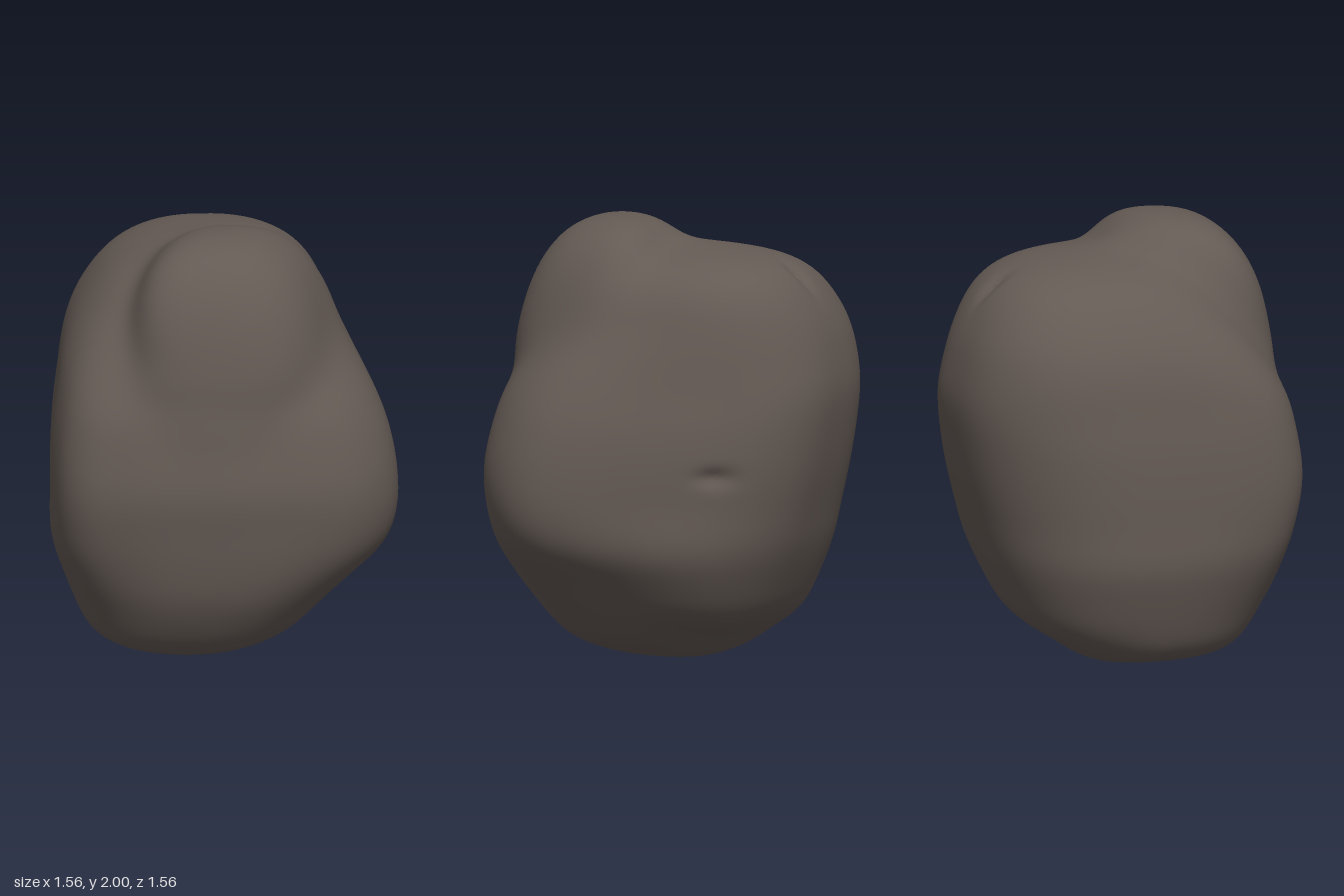
import * as THREE from 'three';
import { mergeVertices } from 'three/addons/utils/BufferGeometryUtils.js';

// Smooth interpolation through rows [key, value, value...]
function lookup(rows, key, col) {
  const last = rows.length - 1;
  if (key <= rows[0][0]) return rows[0][col];
  if (key >= rows[last][0]) return rows[last][col];
  let i = 0;
  while (rows[i + 1][0] < key) i++;
  const slope = (k) => {
    const a = rows[Math.max(k - 1, 0)], b = rows[Math.min(k + 1, last)];
    return (b[col] - a[col]) / (b[0] - a[0]);
  };
  const h = rows[i + 1][0] - rows[i][0];
  const t = (key - rows[i][0]) / h, t2 = t * t, t3 = t2 * t;
  return (2 * t3 - 3 * t2 + 1) * rows[i][col] + (t3 - 2 * t2 + t) * h * slope(i)
    + (3 * t2 - 2 * t3) * rows[i + 1][col] + (t3 - t2) * h * slope(i + 1);
}

// Extents of the boulder at each height: y, xMin, xMax, zBack, zFront
const levels = [
  [0.0, -0.25, 0.0, -0.1, 0.26],
  [0.02, -0.38, 0.06, -0.17, 0.37],
  [0.06, -0.53, 0.18, -0.25, 0.48],
  [0.12, -0.62, 0.31, -0.33, 0.55],
  [0.22, -0.67, 0.42, -0.48, 0.62],
  [0.38, -0.73, 0.57, -0.57, 0.70],
  [0.55, -0.78, 0.73, -0.64, 0.74],
  [0.7, -0.78, 0.78, -0.68, 0.76],
  [0.9, -0.78, 0.78, -0.73, 0.78],
  [1.1, -0.77, 0.74, -0.765, 0.75],
  [1.25, -0.75, 0.68, -0.78, 0.71],
  [1.4, -0.73, 0.6, -0.76, 0.63],
  [1.55, -0.68, 0.51, -0.72, 0.53],
  [1.7, -0.58, 0.43, -0.64, 0.41],
  [1.78, -0.49, 0.35, -0.56, 0.32],
  [1.84, -0.36, 0.22, -0.43, 0.24],
  [1.87, -0.24, 0.1, -0.24, 0.18],
  [1.89, -0.12, 0.0, -0.06, 0.1],
];

// Plan outline at mid height (x, z), turned into radius by angle
const outline = [
  [-0.1, -0.78], [0.15, -0.765], [0.33, -0.67], [0.48, -0.49], [0.59, -0.27], [0.67, -0.05], [0.75, 0.16],
  [0.78, 0.3], [0.75, 0.46], [0.62, 0.63], [0.43, 0.72], [0.2, 0.76], [-0.15, 0.78], [-0.45, 0.76],
  [-0.61, 0.72], [-0.71, 0.62], [-0.76, 0.45], [-0.78, 0.2], [-0.78, 0], [-0.77, -0.2],
  [-0.71, -0.42], [-0.58, -0.61], [-0.4, -0.73],
].map(([x, z]) => [Math.atan2(z, x), Math.hypot(x, z) / 0.78]).sort((a, b) => a[0] - b[0]);
const turn = 2 * Math.PI;
const ring = [
  ...outline.slice(-3).map(([a, r]) => [a - turn, r]),
  ...outline,
  ...outline.slice(0, 3).map(([a, r]) => [a + turn, r]),
];

// The outline turns into a plain rounded one towards the bottom and the top
function outlineRadius(angle, y) {
  const n = 2.5;
  const round = (Math.abs(Math.cos(angle)) ** n + Math.abs(Math.sin(angle)) ** n) ** (-1 / n);
  const low = 1 - THREE.MathUtils.smoothstep(y, 0.2, 0.8);
  const high = 0.6 * THREE.MathUtils.smoothstep(y, 1.2, 1.7);
  return THREE.MathUtils.lerp(lookup(ring, angle, 1), round, low + high);
}

function bodyField(p) {
  const [x0, x1, z0, z1] = [1, 2, 3, 4].map((c) => lookup(levels, p.y, c));
  const hx = (x1 - x0) / 2, hz = (z1 - z0) / 2;
  const u = (p.x - (x0 + x1) / 2) / hx, v = (p.z - (z0 + z1) / 2) / hz;
  const side = (Math.hypot(u, v) / outlineRadius(Math.atan2(v, u), p.y) - 1) * Math.min(hx, hz);
  return Math.max(side, p.y - 1.89, -p.y);
}

// Blunt knob at the upper front, leaning back and tapering down into the front face
function knobField(p) {
  const n = 2.8, rise = p.y - 1.4;
  const midX = 0.05 - 0.15 * Math.max(rise - 0.1, 0) - 0.25 * (p.z - 0.35);
  const midZ = 0.36 - 0.16 * Math.max(rise, 0);
  const width = 0.42 * (1 + 0.8 * THREE.MathUtils.clamp(rise, -0.6, 0));
  const sum = Math.abs((p.x - midX) / width) ** n + Math.abs(rise / 0.6) ** n
    + Math.abs((p.z - midZ) / 0.365) ** n;
  return (sum ** (1 / n) - 1) * 0.4;
}

function field(p) {
  const a = bodyField(p), b = knobField(p), k = 0.08;
  const h = Math.max(k - Math.abs(a - b), 0) / k;
  return Math.min(a, b) - h * h * k / 4;
}

// Dents: centre, spread along each axis, depth
const dents = [
  [[-0.11, 1.76, -0.58], [0.03, 0.12, 0.08], 0.03],
  [[0.5, 0.9, -0.46], [0.14, 0.04, 0.08], 0.03],
  [[0.22, 0.13, -0.18], [0.24, 0.1, 0.13], 0.035],
];

export function createModel() {
  let geometry = new THREE.IcosahedronGeometry(1, 36);
  geometry.deleteAttribute('uv');
  geometry.deleteAttribute('normal');
  geometry = mergeVertices(geometry, 1e-4);

  // Push every vertex of the sphere out to the surface
  const centre = new THREE.Vector3(-0.05, 1, 0.05);
  const pos = geometry.attributes.position;
  const dir = new THREE.Vector3(), p = new THREE.Vector3();
  for (let i = 0; i < pos.count; i++) {
    dir.fromBufferAttribute(pos, i).normalize();
    let near = 0, far = 1.6;
    for (let s = 0; s < 22; s++) {
      const mid = (near + far) / 2;
      p.copy(centre).addScaledVector(dir, mid);
      if (field(p) < 0) near = mid; else far = mid;
    }
    p.copy(centre).addScaledVector(dir, near);
    pos.setXYZ(i, p.x, p.y, p.z);
  }

  // Soften the creases
  const index = geometry.index.array;
  for (let pass = 0; pass < 5; pass++) {
    const sum = new Float32Array(pos.count * 3), count = new Float32Array(pos.count);
    for (let t = 0; t < index.length; t += 3) {
      for (let e = 0; e < 3; e++) {
        const a = index[t + e], b = index[t + (e + 1) % 3];
        p.fromBufferAttribute(pos, b);
        sum[a * 3] += p.x; sum[a * 3 + 1] += p.y; sum[a * 3 + 2] += p.z;
        count[a]++;
      }
    }
    for (let i = 0; i < pos.count; i++) {
      pos.setXYZ(i, sum[i * 3] / count[i], sum[i * 3 + 1] / count[i], sum[i * 3 + 2] / count[i]);
    }
  }

  // Press in the dents
  for (let i = 0; i < pos.count; i++) {
    p.fromBufferAttribute(pos, i);
    dir.copy(centre).sub(p).normalize();
    let depth = 0;
    for (const [c, s, d] of dents) {
      depth += d * Math.exp(-(((p.x - c[0]) / s[0]) ** 2 + ((p.y - c[1]) / s[1]) ** 2 + ((p.z - c[2]) / s[2]) ** 2));
    }
    p.addScaledVector(dir, depth);
    pos.setXYZ(i, p.x, p.y, p.z);
  }
  geometry.computeVertexNormals();

  const boulder = new THREE.Mesh(geometry, new THREE.MeshStandardMaterial({ color: 0x645a54 }));
  boulder.name = 'boulder';
  const group = new THREE.Group();
  group.name = 'rock';
  group.add(boulder);
  return group;
}
